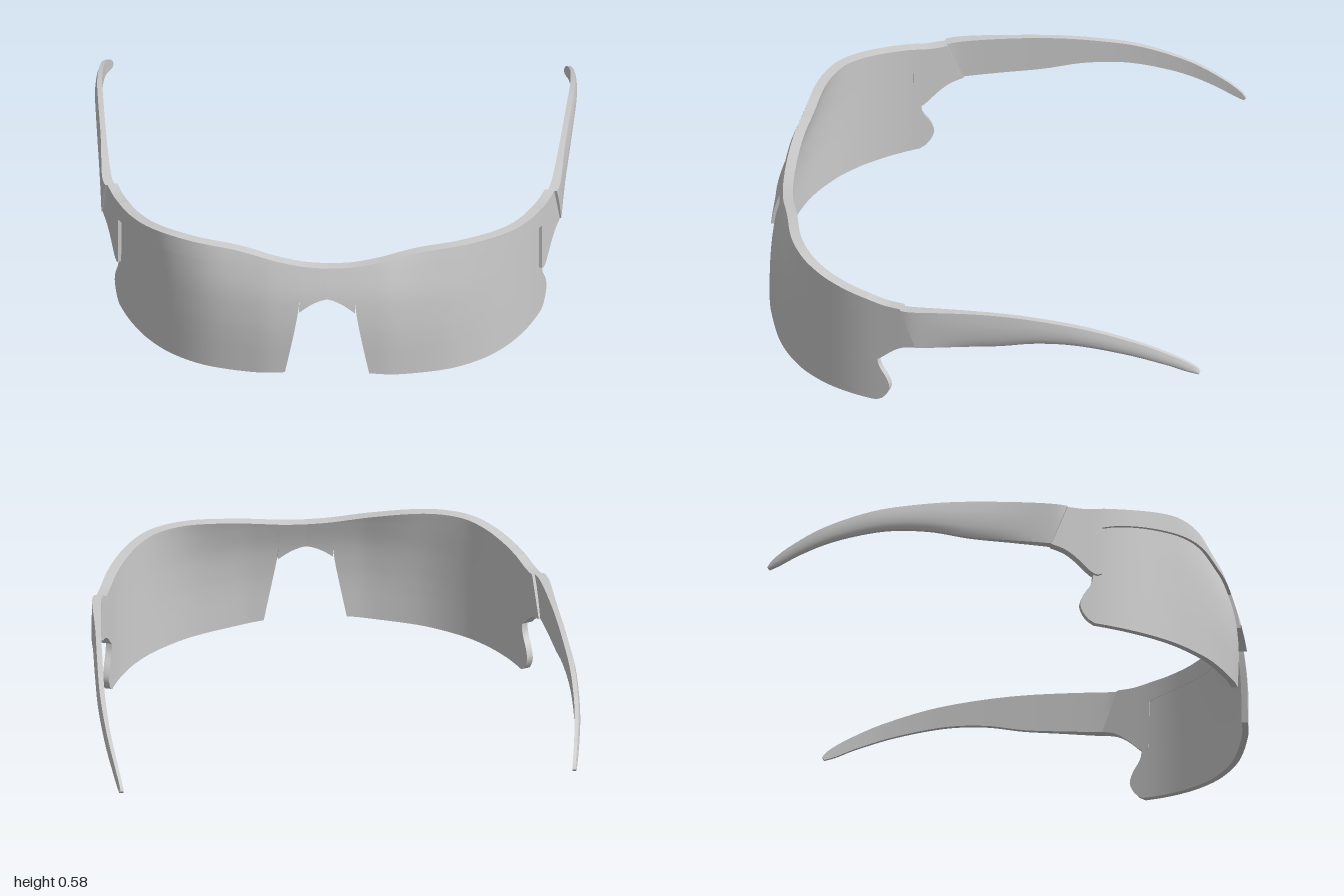
import * as THREE from 'three';
import { toCreasedNormals } from 'three/addons/utils/BufferGeometryUtils.js';

const { lerp, clamp, smoothstep } = THREE.MathUtils;
const spline = (pts) => new THREE.SplineCurve(pts.map((p) => new THREE.Vector2(...p)));

// Smooth function through [input, value] points, inputs ascending
function profile(pts) {
  const s = spline(pts).getPoints(pts.length * 12);
  return (v) => {
    if (v <= s[0].x) return s[0].y;
    for (let i = 1; i < s.length; i++) {
      if (v <= s[i].x) {
        return lerp(s[i - 1].y, s[i].y, (v - s[i - 1].x) / (s[i].x - s[i - 1].x || 1));
      }
    }
    return s[s.length - 1].y;
  };
}

// Plan of the wrap (x, z), from the nose to the hinge
const wrap = spline([[0, 0.94], [0.17, 0.936], [0.3, 0.92], [0.5, 0.86], [0.65, 0.77],
  [0.75, 0.67], [0.82, 0.565], [0.87, 0.46], [0.912, 0.34], [0.945, 0.24]]);

// Curve parameter where the wrap reaches a given x (rising) or z (falling)
function uAt(axis, v) {
  let a = 0, b = 1;
  for (let i = 0; i < 24; i++) {
    const m = (a + b) / 2, p = wrap.getPoint(m);
    if (axis === 'x' ? p.x < v : p.y > v) a = m; else b = m;
  }
  return (a + b) / 2;
}

// The upper part of the front leans back near the nose
const lean = profile([[0.15, 0], [0.25, 0.005], [0.38, 0.023], [0.5, 0.058], [0.58, 0.088]]);

function onWrap(u, y, depth) {
  const p = wrap.getPoint(u), t = wrap.getTangent(u);
  const w = 1 - smoothstep(p.x, 0.25, 0.85);
  return [p.x + t.y * depth, y, p.y - t.x * depth - lean(y) * w];
}

// Skin over closed rings; each ring runs up the outside and down the inside
function loft(rings, side) {
  const n = rings[0].length, pos = [], idx = [];
  rings.forEach((r) => r.forEach(([x, y, z]) => pos.push(x * side, y, z)));
  const tri = (a, b, c) => (side > 0 ? idx.push(a, b, c) : idx.push(a, c, b));
  const quad = (a, b, c, d) => { tri(a, b, c); tri(a, c, d); };
  for (let i = 0; i < rings.length - 1; i++) {
    for (let j = 0; j < n; j++) {
      const k = (j + 1) % n, o = i * n, q = o + n;
      quad(o + j, q + j, q + k, o + k);
    }
  }
  const e = (rings.length - 1) * n;
  for (let j = 0; j < n / 2 - 1; j++) {
    quad(j, j + 1, n - 2 - j, n - 1 - j);
    quad(e + n - 1 - j, e + n - 2 - j, e + j + 1, e + j);
  }
  const g = new THREE.BufferGeometry();
  g.setAttribute('position', new THREE.Float32BufferAttribute(pos, 3));
  g.setIndex(idx);
  return toCreasedNormals(g, 0.6);
}

// One panel column: outer points going up, inner points coming down
function column(bottom, top, uOf, dOut, dIn, rows = 12) {
  const outer = [], inner = [];
  for (let j = 0; j <= rows; j++) {
    const y = lerp(bottom, top, j / rows), u = uOf(y);
    outer.push(onWrap(u, y, dOut));
    inner.unshift(onWrap(u, y, dIn));
  }
  return [...outer, ...inner];
}

const steps = (n, fn) => Array.from({ length: n + 1 }, (_, i) => fn(i / n));

const THICK = 0.042;
const frameTop = profile([[0, 0.51], [0.1, 0.515], [0.2, 0.53], [0.4, 0.565], [0.6, 0.578],
  [0.72, 0.572], [0.88, 0.54]]);
const browBottom = profile([[0.1, 0.474], [0.25, 0.49], [0.55, 0.505], [0.75, 0.49], [0.84, 0.474], [0.88, 0.452]]);

function bridgeRings() {
  const low = profile([[0, 0.383], [0.03, 0.375], [0.07, 0.355], [0.115, 0.322]]);
  return steps(10, (k) => {
    const x = k * 0.115, u = uAt('x', x);
    return column(low(x), frameTop(x), () => u, 0, THICK);
  });
}

// Brow strip, then the deeper arm that reaches back to the slanted hinge
function frameRings() {
  const u0 = uAt('x', 0.112), u1 = uAt('z', 0.445);
  const brow = steps(40, (k) => {
    const u = lerp(u0, u1, k), x = wrap.getPoint(u).x;
    return column(browBottom(x), frameTop(x), () => u, 0, THICK);
  });
  const low = profile([[0, 0.245], [0.08, 0.238], [0.2, 0.25], [0.45, 0.305], [0.7, 0.343], [1, 0.36]]);
  const high = profile([[0, 0.54], [0.5, 0.532], [1, 0.535]]);
  const hinge = (y) => uAt('z', lerp(0.24, 0.305, clamp((y - 0.36) / 0.175, 0, 1)));
  const arm = steps(14, (k) =>
    column(low(k), high(k), (y) => lerp(u1 + 0.002, hinge(y), k), 0, THICK));
  return [...brow, ...arm];
}

// Lens panel with a slanted nose edge and a notched outer edge
function lensRings() {
  const nose = profile([[0.02, 0.176], [0.32, 0.12], [0.5, 0.112]]);
  const end = profile([[0.01, 0.45], [0.025, 0.41], [0.05, 0.38], [0.1, 0.358], [0.15, 0.372],
    [0.2, 0.402], [0.26, 0.41], [0.5, 0.41]]);
  const low = profile([[0, 0.025], [0.2, 0.01], [0.42, 0.001], [0.7, 0.006], [0.9, 0.015], [1, 0.022]]);
  return steps(40, (s) => {
    const x = wrap.getPoint(lerp(uAt('x', 0.115), uAt('z', 0.41), s)).x;
    return column(low(s), browBottom(x) + 0.015,
      (y) => lerp(uAt('x', nose(y)), uAt('z', end(y)), s), 0.014, 0.04, 28);
  });
}

// Temple: side outline from matching top and bottom edges, bulged outside
function templeRings() {
  const top = spline([[0.305, 0.535], [0.12, 0.552], [-0.1, 0.562], [-0.3, 0.555], [-0.5, 0.53],
    [-0.7, 0.472], [-0.84, 0.405], [-0.915, 0.355], [-0.943, 0.322]]);
  const low = spline([[0.24, 0.36], [0.08, 0.38], [-0.1, 0.403], [-0.27, 0.438], [-0.45, 0.445],
    [-0.65, 0.413], [-0.8, 0.365], [-0.89, 0.325], [-0.935, 0.31]]);
  const outX = profile([[-0.95, 0.948], [-0.85, 0.968], [-0.7, 0.988], [-0.5, 0.996], [-0.3, 0.988],
    [0, 0.968], [0.24, 0.95], [0.31, 0.932]]);
  const thick = profile([[-0.95, 0.018], [-0.7, 0.024], [-0.4, 0.031], [0, 0.033], [0.3, 0.042]]);
  // [share of thickness, share of height]
  const section = [[0.55, 0], [0.8, 0.1], [0.95, 0.28], [1, 0.5], [0.92, 0.75], [0.7, 1],
    [0, 1], [0, 0.75], [0, 0.5], [0, 0.28], [0, 0.1], [0, 0]];
  return steps(48, (k) => {
    const a = low.getPoint(k), b = top.getPoint(k), soft = smoothstep(k, 0, 0.25);
    return section.map(([across, h]) => {
      const z = lerp(a.x, b.x, h), y = lerp(a.y, b.y, h);
      const w = across === 0 ? 0 : lerp(1, across, soft);
      return [outX(z) - thick(z) * (1 - w), y, z];
    });
  });
}

export function createModel() {
  const model = new THREE.Group();
  model.name = 'sportSunglasses';
  const material = new THREE.MeshStandardMaterial({ color: 0xcccccc });
  const parts = {
    NoseBridge: bridgeRings(), Frame: frameRings(), Lens: lensRings(), Temple: templeRings(),
  };
  for (const [name, rings] of Object.entries(parts)) {
    for (const side of [1, -1]) {
      const mesh = new THREE.Mesh(loft(rings, side), material);
      mesh.name = (side > 0 ? 'left' : 'right') + name;
      model.add(mesh);
    }
  }
  return model;
}
